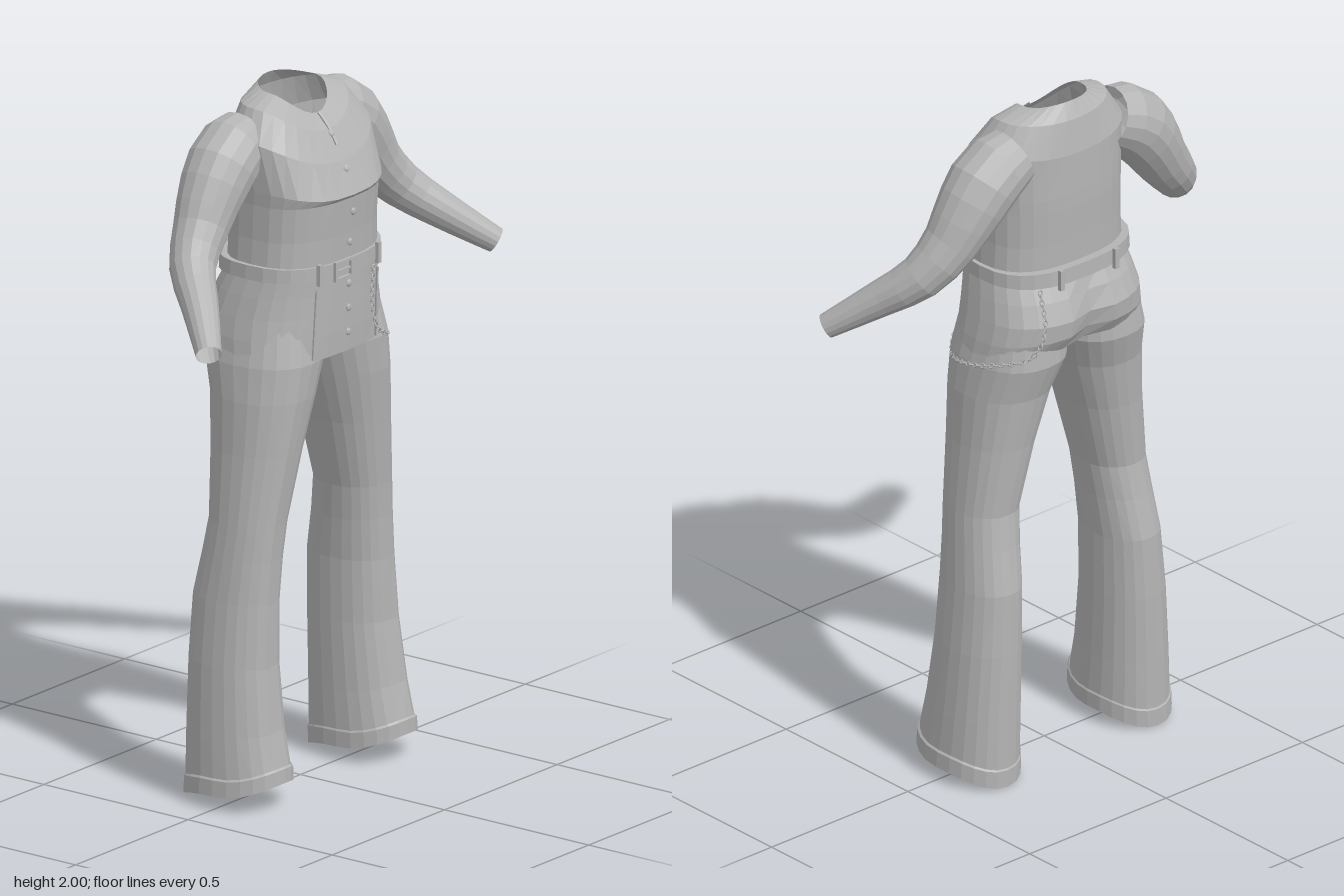
import * as THREE from 'three';

const cloth = new THREE.MeshStandardMaterial({ color: 0xb4b4b4, flatShading: true, side: THREE.DoubleSide });
cloth.name = 'grey cloth';

function mesh(name, geometry, parent) {
  const m = new THREE.Mesh(geometry, cloth);
  m.name = name;
  parent.add(m);
  return m;
}

// Skin a list of closed rings (equal point counts) into an open shell
function loft(rings) {
  const n = rings[0].length, pos = [], idx = [];
  rings.forEach(r => r.forEach(p => pos.push(p.x, p.y, p.z)));
  for (let i = 0; i < rings.length - 1; i++) {
    for (let j = 0; j < n; j++) {
      const a = i * n + j, b = i * n + (j + 1) % n;
      idx.push(a, b, a + n, b, b + n, a + n);
    }
  }
  const g = new THREE.BufferGeometry();
  g.setAttribute('position', new THREE.Float32BufferAttribute(pos, 3));
  g.setIndex(idx);
  g.computeVertexNormals();
  return g;
}

// Rounded cross-section; heights differ at front, side and back
function oval([yf, ys, yb, x0, x1, zf, zb, power = 2.4, cleft = 0, pleat = 0], count = 28) {
  const ring = [], cx = (x0 + x1) / 2, hw = (x1 - x0) / 2, cz = (zf + zb) / 2, hz = (zf - zb) / 2;
  const round = v => Math.sign(v) * Math.abs(v) ** (2 / power);
  for (let i = 0; i < count; i++) {
    const a = -i / count * Math.PI * 2, c = Math.cos(a), s = Math.sin(a);
    const x = cx + hw * round(c);
    let z = cz + hz * round(s);
    if (s < 0) z += cleft * Math.exp(-((x / 0.05) ** 2));
    else z += pleat * (Math.exp(-(((c - 0.35) / 0.12) ** 2)) - 0.5 * s);
    const y = ys + ((s > 0 ? yf : yb) - ys) * s * s;
    ring.push(new THREE.Vector3(x, y, z));
  }
  return ring;
}

function mirrorX(rings, side) {
  return rings.map(r => r.map(p => new THREE.Vector3(p.x * side, p.y, p.z)));
}

function tube(name, points, radius, parent) {
  const curve = new THREE.CatmullRomCurve3(points.map(p => new THREE.Vector3(...p)));
  return mesh(name, new THREE.TubeGeometry(curve, points.length * 5, radius, 5), parent);
}

// Height and depth down the centre front, for the fastening
const frontLine = [[1.92, 0.06], [1.88, 0.1], [1.8, 0.148], [1.71, 0.19], [1.6, 0.172], [1.5, 0.167], [1.25, 0.164]];
function frontZ(y) {
  for (let i = 0; i < frontLine.length - 1; i++) {
    const [ya, za] = frontLine[i], [yb, zb] = frontLine[i + 1];
    if (y <= ya && y >= yb) return za + (zb - za) * (ya - y) / (ya - yb);
  }
  return 0.16;
}

export function createModel() {
  const group = new THREE.Group();
  group.name = 'outfit';

  // Shirt body, open at the neck
  mesh('shirtBody', loft([
    [1.92, 1.985, 2.0, -0.105, 0.105, 0.06, -0.115, 2],
    [1.88, 1.96, 1.955, -0.18, 0.18, 0.1, -0.14, 2.1],
    [1.8, 1.88, 1.86, -0.235, 0.235, 0.148, -0.158, 2.3],
    [1.71, 1.74, 1.74, -0.225, 0.225, 0.19, -0.16, 2.6],
    [1.7, 1.7, 1.7, -0.222, 0.222, 0.18, -0.16, 2.6],
    [1.6, 1.6, 1.6, -0.222, 0.222, 0.172, -0.157, 2.6],
    [1.49, 1.49, 1.49, -0.23, 0.23, 0.167, -0.155, 2.6],
  ].map(r => oval(r))), group);

  // Hips, with a hem that falls lower at the front
  mesh('hips', loft([
    [1.5, 1.5, 1.5, -0.23, 0.23, 0.166, -0.155, 2.6],
    [1.44, 1.44, 1.44, -0.245, 0.245, 0.166, -0.19, 2.5, 0.015],
    [1.38, 1.38, 1.38, -0.258, 0.258, 0.166, -0.214, 2.5, 0.025],
    [1.32, 1.32, 1.33, -0.27, 0.27, 0.165, -0.208, 2.5, 0.03],
    [1.255, 1.25, 1.29, -0.28, 0.28, 0.162, -0.18, 2.5, 0.02],
  ].map(r => oval(r))), group);

  for (const side of [1, -1]) {
    const label = side > 0 ? 'left' : 'right';

    // Sleeve: round sections swept from shoulder to wrist
    const path = new THREE.CatmullRomCurve3([
      [0.17, 1.87, -0.06], [0.25, 1.835, -0.058], [0.32, 1.76, -0.055], [0.385, 1.665, -0.045],
      [0.46, 1.58, -0.015], [0.55, 1.49, 0.085], [0.638, 1.41, 0.18],
    ].map(p => new THREE.Vector3(...p)));
    const radii = [0.085, 0.104, 0.095, 0.078, 0.065, 0.05, 0.036];
    const steps = 12, frames = path.computeFrenetFrames(steps);
    const sleeve = [];
    for (let i = 0; i <= steps; i++) {
      const u = i / steps, t = path.getUtoTmapping(u) * (radii.length - 1);
      const k = Math.min(Math.floor(t), radii.length - 2);
      const r = radii[k] + (radii[k + 1] - radii[k]) * (t - k);
      const centre = path.getPointAt(u), ring = [];
      for (let j = 0; j < 16; j++) {
        const a = j / 16 * Math.PI * 2;
        ring.push(centre.clone()
          .addScaledVector(frames.normals[i], Math.cos(a) * r)
          .addScaledVector(frames.binormals[i], Math.sin(a) * r));
      }
      sleeve.push(ring);
    }
    mesh(label + 'Sleeve', loft(mirrorX(sleeve, side)), group);

    // Flared trouser leg with a front pleat
    mesh(label + 'TrouserLeg', loft(mirrorX([
      [1.38, 1.38, 1.38, 0.005, 0.25, 0.13, -0.17, 2.4],
      [1.25, 1.25, 1.25, 0.002, 0.283, 0.154, -0.18, 2.3, 0, 0.004],
      [1.15, 1.15, 1.15, 0.035, 0.295, 0.15, -0.15, 2.2, 0, 0.008],
      [1.0, 1.0, 1.0, 0.085, 0.305, 0.135, -0.13, 2.2, 0, 0.01],
      [0.8, 0.8, 0.8, 0.138, 0.325, 0.115, -0.112, 2.2, 0, 0.01],
      [0.7, 0.7, 0.7, 0.15, 0.335, 0.11, -0.128, 2.2, 0, 0.012],
      [0.58, 0.58, 0.58, 0.16, 0.347, 0.108, -0.152, 2.2, 0, 0.012],
      [0.4, 0.4, 0.4, 0.162, 0.365, 0.113, -0.157, 2.2, 0, 0.014],
      [0.22, 0.2, 0.2, 0.162, 0.38, 0.135, -0.157, 2.2, 0, 0.012],
      [0.12, 0.085, 0.05, 0.161, 0.388, 0.155, -0.157, 2.2, 0, 0.005],
    ].map(r => oval(r, 24)), side)), group);

    // Turned cuff
    mesh(label + 'Cuff', loft(mirrorX([
      [0.125, 0.09, 0.055, 0.16, 0.388, 0.155, -0.157, 2.2],
      [0.12, 0.085, 0.05, 0.157, 0.393, 0.16, -0.16, 2.2],
      [0.08, 0.04, 0.0, 0.157, 0.396, 0.162, -0.16, 2.2],
      [0.08, 0.04, 0.003, 0.163, 0.389, 0.155, -0.153, 2.2],
    ].map(r => oval(r, 24)), side)), group);

    // Pocket edge and belt loops
    tube(label + 'PocketEdge', [[0.135 * side, 1.46, 0.162], [0.137 * side, 1.36, 0.157], [0.14 * side, 1.26, 0.153]], 0.004, group);
    for (const [x, z] of [[0.13, 0.168], [0.1, -0.183]]) {
      mesh(label + 'BeltLoop', new THREE.BoxGeometry(0.014, 0.06, 0.012), group).position.set(x * side, 1.505, z);
    }
  }

  // Belt band
  mesh('belt', loft([
    [1.525, 1.53, 1.53, -0.225, 0.225, 0.16, -0.155, 2.6],
    [1.525, 1.53, 1.53, -0.24, 0.24, 0.177, -0.18, 2.6],
    [1.485, 1.49, 1.485, -0.242, 0.242, 0.177, -0.182, 2.6],
    [1.485, 1.49, 1.485, -0.225, 0.225, 0.16, -0.155, 2.6],
  ].map(r => oval(r))), group);

  // Square buckle with a prong
  const buckle = new THREE.Group();
  buckle.name = 'buckle';
  buckle.position.set(-0.04, 1.502, 0.18);
  group.add(buckle);
  for (const s of [1, -1]) {
    mesh('buckleRail', new THREE.BoxGeometry(0.075, 0.008, 0.01), buckle).position.y = s * 0.024;
    mesh('buckleEnd', new THREE.BoxGeometry(0.008, 0.056, 0.01), buckle).position.x = s * 0.034;
  }
  mesh('buckleProng', new THREE.BoxGeometry(0.06, 0.006, 0.008), buckle);

  // Buttons down the front and a small pull at the neck
  for (const y of [1.87, 1.78, 1.66, 1.57, 1.45, 1.38, 1.31]) {
    const button = mesh('button', new THREE.SphereGeometry(0.011, 8, 6), group);
    button.scale.z = 0.5;
    button.position.set(0, y, frontZ(y) + 0.002);
    button.rotation.x = y > 1.71 ? -0.6 : 0;
  }
  tube('neckPlacket', [1.92, 1.89, 1.84].map(y => [0, y, frontZ(y) + 0.002]), 0.005, group);

  // Chain hanging from the front of the belt round the left hip to the back
  const hang = new THREE.CatmullRomCurve3([
    [0.1, 1.47, 0.175], [0.1, 1.36, 0.172], [0.125, 1.29, 0.17], [0.2, 1.25, 0.145], [0.27, 1.235, 0.07],
    [0.29, 1.25, -0.02], [0.275, 1.27, -0.1], [0.21, 1.3, -0.18], [0.18, 1.38, -0.205], [0.175, 1.49, -0.18],
  ].map(p => new THREE.Vector3(...p)));
  const chain = new THREE.Group();
  chain.name = 'chain';
  group.add(chain);
  const links = 60;
  for (let i = 0; i <= links; i++) {
    const link = mesh('chainLink', new THREE.TorusGeometry(0.006, 0.0018, 4, 8), chain);
    link.position.copy(hang.getPointAt(i / links));
    link.quaternion.setFromUnitVectors(new THREE.Vector3(1, 0, 0), hang.getTangentAt(i / links));
    link.rotateX(i % 2 * Math.PI / 2);
    link.scale.x = 1.4;
  }

  return group;
}
